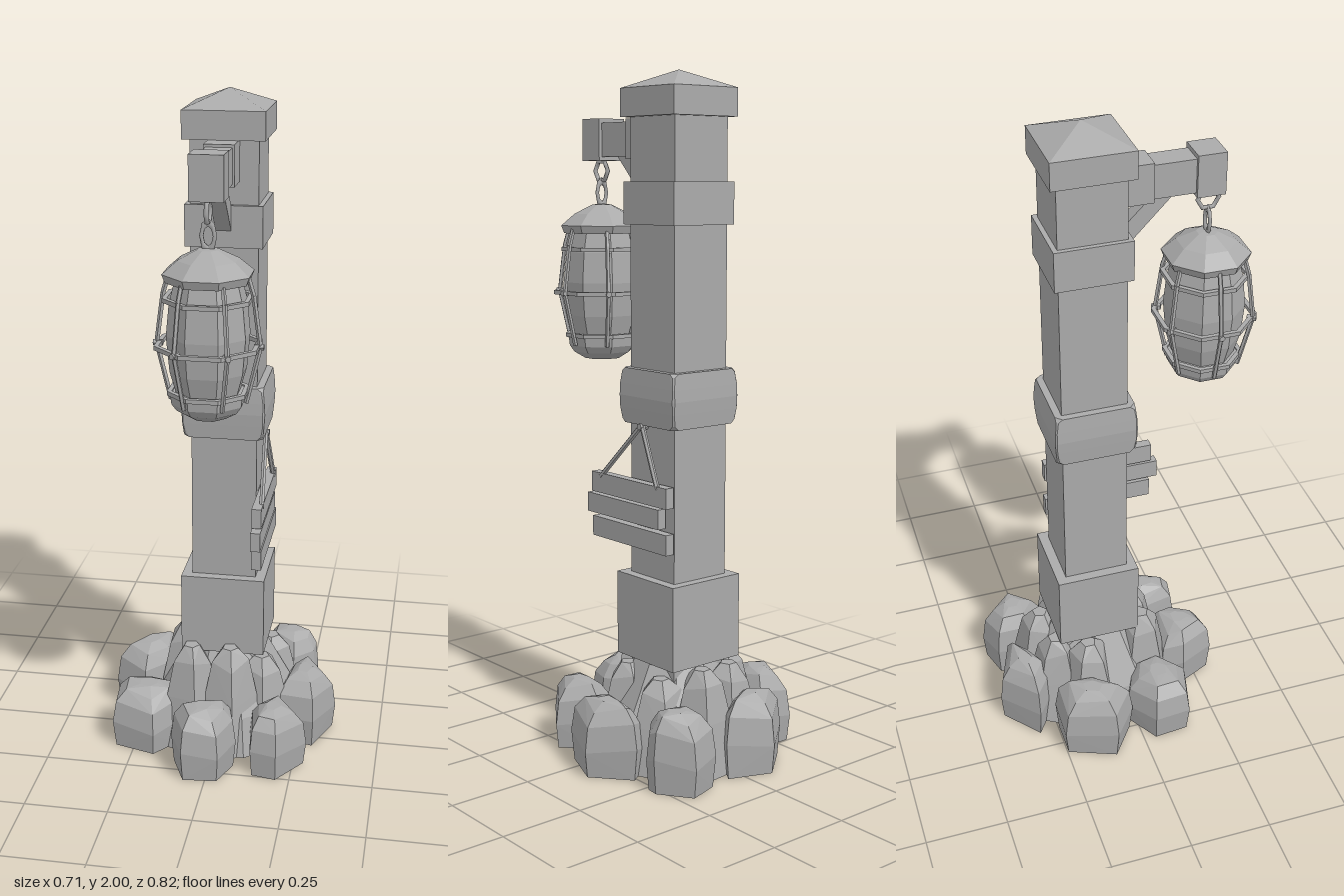
import * as THREE from 'three';
import { ConvexGeometry } from 'three/addons/geometries/ConvexGeometry.js';

const grey = new THREE.MeshStandardMaterial({ color: 0xaaaaaa });
const CX = 0.012, CZ = -0.088; // post axis
const LZ = 0.27; // lantern axis

export function createModel() {
  const model = new THREE.Group();
  model.name = 'lanternPost';

  const add = (name, geo, x = 0, y = 0, z = 0, parent = model) => {
    const m = new THREE.Mesh(geo, grey);
    m.name = name;
    m.position.set(x, y, z);
    parent.add(m);
    return m;
  };
  // Box given by its x, y and z ranges
  const box = (name, x0, x1, y0, y1, z0, z1) =>
    add(name, new THREE.BoxGeometry(x1 - x0, y1 - y0, z1 - z0), (x0 + x1) / 2, (y0 + y1) / 2, (z0 + z1) / 2);
  // Square block centred on the post
  const block = (name, w, y0, y1) => box(name, CX - w / 2, CX + w / 2, y0, y1, CZ - w / 2, CZ + w / 2);
  // Straight bar between two points
  const rod = (name, a, b, r, sides = 6, parent = model) => {
    const p = new THREE.Vector3(...a), q = new THREE.Vector3(...b);
    const m = add(name, new THREE.CylinderGeometry(r, r, p.distanceTo(q), sides).toNonIndexed(), 0, 0, 0, parent);
    m.geometry.computeVertexNormals();
    m.position.copy(p).add(q).multiplyScalar(0.5);
    m.quaternion.setFromUnitVectors(new THREE.Vector3(0, 1, 0), q.sub(p).normalize());
    return m;
  };
  // Faceted solid of revolution; flats of the polygon face the axes
  const facet = (profile, sides) => {
    const pts = profile.map(([r, y]) => new THREE.Vector2(r, y));
    const g = new THREE.LatheGeometry(pts, sides, Math.PI / sides).toNonIndexed();
    g.computeVertexNormals();
    return g;
  };

  // Post
  block('post', 0.195, 0.1, 1.9);
  block('postFoot', 0.255, 0.3, 0.55);
  block('upperCollar', 0.223, 1.57, 1.69);
  block('capBlock', 0.235, 1.87, 1.95);
  add('capPyramid', facet([[0.235 / Math.SQRT2, 0], [0, 0.05]], 4), CX, 1.95, CZ);

  // Rounded wrap around the post
  const wrap = [[0.2, 0], [0.225, 0.012], [0.243, 0.045], [0.247, 0.08], [0.243, 0.115], [0.225, 0.15], [0.2, 0.16]];
  const wrapPoints = [];
  for (const [w, y] of wrap) for (const sx of [-1, 1]) for (const sz of [-1, 1]) {
    wrapPoints.push(new THREE.Vector3(sx * w / 2, y, sz * 0.118), new THREE.Vector3(sx * 0.118, y, sz * w / 2));
  }
  add('postWrap', new ConvexGeometry(wrapPoints), CX, 1.0, CZ);

  // Arm with its end block and brace
  box('armRoot', -0.031, 0.055, 1.755, 1.87, 0, 0.1);
  box('arm', -0.025, 0.049, 1.763, 1.862, 0.05, 0.25);
  box('armEnd', -0.035, 0.059, 1.752, 1.875, 0.22, 0.302);
  const braceShape = new THREE.Shape();
  [[0.165, 1.765], [0.1, 1.765], [0.01, 1.675], [0.01, 1.605]]
    .forEach(([z, y], i) => (i ? braceShape.lineTo(z, y) : braceShape.moveTo(z, y)));
  const brace = new THREE.ExtrudeGeometry(braceShape, { depth: 0.044, bevelEnabled: false });
  add('armBrace', brace.rotateY(-Math.PI / 2), CX + 0.022);

  // Chain links
  const link = add('chainRing', new THREE.TorusGeometry(0.031, 0.007, 5, 6), CX, 1.722, LZ);
  link.rotation.set(0, Math.PI / 2, 0);
  const lower = add('chainLink', new THREE.TorusGeometry(0.018, 0.006, 5, 8), CX, 1.657, LZ);
  lower.scale.y = 2;

  // Lantern
  const lantern = new THREE.Group();
  lantern.name = 'lantern';
  lantern.position.set(CX, 0, LZ);
  model.add(lantern);
  add('lanternRoof', facet([[0, 1.537], [0.118, 1.537], [0.127, 1.56], [0.085, 1.595], [0.03, 1.622], [0, 1.625]], 8), 0, 0, 0, lantern);
  add('lanternGlass', facet([[0.088, 1.22], [0.108, 1.29], [0.117, 1.39], [0.108, 1.48], [0.09, 1.55]], 8), 0, 0, 0, lantern);
  add('lanternBase', facet([[0, 1.155], [0.055, 1.157], [0.09, 1.178], [0.104, 1.198], [0.108, 1.232], [0, 1.232]], 8), 0, 0, 0, lantern);

  // Cage hoops: flat octagonal rings
  for (const [r, y] of [[0.151, 1.36], [0.127, 1.49], [0.116, 1.23]]) {
    const i = r - 0.014;
    add('cageHoop', facet([[i, -0.006], [r, -0.006], [r, 0.006], [i, 0.006], [i, -0.006]], 8), 0, y, 0, lantern);
  }
  // Six bent cage bars with a small stud at the bend
  for (let k = 0; k < 6; k++) {
    const a = k * Math.PI / 3;
    const at = (r, y) => [Math.cos(a) * r, y, Math.sin(a) * r];
    const path = [at(0.108, 1.55), at(0.123, 1.5), at(0.142, 1.36), at(0.104, 1.2)];
    for (let j = 0; j < 3; j++) rod('cageBar', path[j], path[j + 1], 0.007, 5, lantern);
    rod('cageStud', at(0.125, 1.36), at(0.152, 1.36), 0.009, 5, lantern);
  }

  // Hanging plank sign on the left side
  [[0.775, 0.835, -0.19, 0.155], [0.71, 0.768, -0.155, 0.175], [0.64, 0.7, -0.19, 0.15]]
    .forEach(([y0, y1, z0, z1]) => box('signPlank', 0.116, 0.145, y0, y1, z0, z1));
  for (const z of [-0.147, 0.115]) rod('signRope', [0.127, 1.0, -0.062], [0.14, 0.825, z], 0.008);
  rod('signPeg', [0.09, 0.995, -0.062], [0.138, 0.995, -0.062], 0.01);
  box('signBacking', 0.1, 0.12, 0.66, 0.82, -0.1, -0.03);

  // Rocks: a footprint swollen at mid height, ending in a small crown
  const rock = (name, h, foot, levels) => {
    const cx = foot.reduce((s, p) => s + p[0], 0) / foot.length;
    const cz = foot.reduce((s, p) => s + p[1], 0) / foot.length;
    const pts = [];
    levels.forEach(([t, s]) => foot.forEach(([x, z], i) => {
      const wobble = t > 0 && t < 1 ? 0.05 * Math.sin(i * 2.4 + h * 40) : 0;
      pts.push(new THREE.Vector3(cx + (x - cx) * s, h * (t + wobble), cz + (z - cz) * s));
    }));
    add(name, new ConvexGeometry(pts));
  };
  const boulder = [[0, 0.92], [0.4, 1], [0.75, 0.9], [0.93, 0.62], [1, 0.25]];
  [
    [0.23, [[-0.2, -0.31], [-0.08, -0.41], [0.057, -0.356], [0.013, -0.29], [-0.1, -0.24]]],
    [0.225, [[0.11, -0.37], [0.21, -0.4], [0.28, -0.3], [0.275, -0.26], [0.21, -0.19], [0.105, -0.26]]],
    [0.21, [[0.26, -0.2], [0.357, -0.085], [0.3, 0.06], [0.18, 0.035], [0.2, -0.16]]],
    [0.2, [[0.2, 0.055], [0.29, 0.15], [0.21, 0.265], [0.13, 0.25], [0.11, 0.1]]],
    [0.195, [[-0.326, 0.035], [-0.22, -0.03], [-0.12, 0.013], [-0.11, 0.1], [-0.18, 0.187], [-0.315, 0.15]]],
    [0.225, [[-0.357, -0.1], [-0.296, -0.255], [-0.174, -0.255], [-0.16, -0.13], [-0.25, -0.02]]],
    [0.21, [[-0.12, 0.2], [-0.1, 0.13], [0.06, 0.13], [0.08, 0.2], [0.04, 0.3], [-0.07, 0.31]]],
  ].forEach(([h, foot]) => rock('outerRock', h, foot, boulder));

  // Taller inner rocks leaning on the post foot, set in the gaps
  [[-0.13, -0.13, 0.3], [-0.08, 0.06, 0.33], [0.04, 0.06, 0.33], [0.13, 0.0, 0.28], [0.14, -0.16, 0.27], [0.05, -0.24, 0.3], [-0.07, -0.22, 0.29]]
    .forEach(([x, z, h], k) => {
      const foot = [];
      for (let i = 0; i < 5; i++) {
        const a = i * Math.PI * 0.4 + k * 1.3;
        foot.push([x + Math.cos(a) * 0.1, z + Math.sin(a) * 0.1]);
      }
      rock('innerRock', h, foot, [[0, 1.1], [0.5, 0.85], [0.85, 0.6], [1, 0.25]]);
    });

  // Low mound filling the middle
  add('rockMound', facet([[0, 0], [0.25, 0], [0.22, 0.12], [0.12, 0.3], [0, 0.3]], 9), CX, 0, -0.08);

  return model;
}
